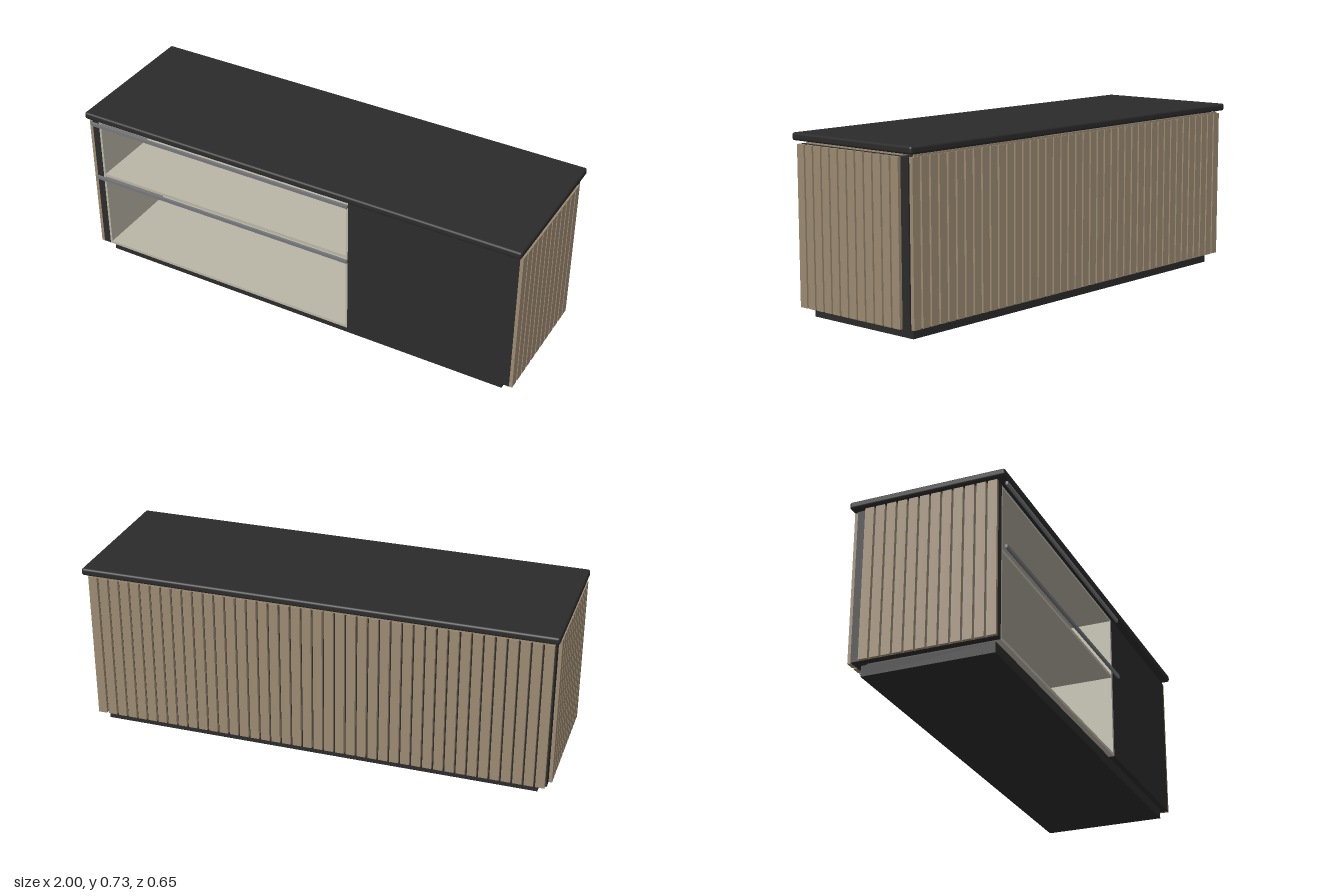
import * as THREE from 'three';
import { RoundedBoxGeometry } from 'three/addons/geometries/RoundedBoxGeometry.js';

const material = (name, color) => {
  const m = new THREE.MeshStandardMaterial({ color });
  m.name = name;
  return m;
};

export function createModel() {
  const dark = material('charcoal', 0x2b2b2b);
  const wood = material('slatWood', 0x9c8a72);
  const liner = material('beigeLiner', 0xbab6a6);
  const metal = material('greyMetal', 0x74777a);
  const root = new THREE.Group();
  root.name = 'counter';

  // Box given by its extents on each axis
  const box = (name, mat, [x0, x1], [y0, y1], [z0, z1], parent = root) => {
    const mesh = new THREE.Mesh(new THREE.BoxGeometry(x1 - x0, y1 - y0, z1 - z0), mat);
    mesh.position.set((x0 + x1) / 2, (y0 + y1) / 2, (z0 + z1) / 2);
    mesh.name = name;
    parent.add(mesh);
  };
  const bodyY = [0.044, 0.688];

  // Worktop with softened edges, and the plinth
  const top = new THREE.Mesh(new RoundedBoxGeometry(2, 0.031, 0.653, 3, 0.01), dark);
  top.position.y = 0.7155;
  top.name = 'worktop';
  root.add(top);
  box('plinth', dark, [-0.945, 0.945], [0, 0.044], [-0.272, 0.272]);
  box('topBoard', wood, [-0.965, 0.965], [0.688, 0.7], [-0.25, 0.28]);
  box('backBatten', wood, [-0.965, 0.965], [0.688, 0.696], [-0.307, -0.302]);

  // Dark carcass around the open shelves, closed cabinet on the left
  box('sidePanel', dark, [-0.985, -0.953], bodyY, [-0.295, 0.295]);
  box('backPanel', dark, [-0.953, 0.252], bodyY, [-0.295, -0.26]);
  box('cabinet', dark, [0.252, 0.985], bodyY, [-0.295, 0.297]);

  // Beige shelf lining, with a narrow shadow gap around its back board
  const shelfZ = [-0.245, 0.295];
  const shelves = new THREE.Group();
  shelves.name = 'openShelves';
  root.add(shelves);
  box('linerSide', liner, [-0.953, -0.943], bodyY, shelfZ, shelves);
  box('linerSide', liner, [0.242, 0.252], bodyY, shelfZ, shelves);
  box('floorBoard', liner, [-0.943, 0.242], [0.044, 0.056], shelfZ, shelves);
  box('ceilingBoard', liner, [-0.943, 0.242], [0.678, 0.688], shelfZ, shelves);
  box('middleShelf', liner, [-0.943, 0.242], [0.405, 0.418], shelfZ, shelves);
  box('linerBack', liner, [-0.938, 0.237], [0.063, 0.676], [-0.26, -0.25], shelves);

  // Metal rails standing just in front of the shelves
  for (const y of [0.405, 0.675]) {
    box('shelfRail', metal, [-0.97, 0.262], [y, y + 0.014], [0.317, 0.327]);
  }

  // Vertical slats on both ends
  const pitch = 0.0468;
  const width = 0.038;
  const slats = new THREE.Group();
  slats.name = 'slats';
  root.add(slats);
  for (let i = 0; i < 12; i++) {
    const z = 0.296 - i * pitch;
    box('endSlat', wood, [0.985, 0.999], bodyY, [z - width, z], slats);
    box('endSlat', wood, [-0.999, -0.985], bodyY, [z - width, z], slats);
  }
  // Vertical slats along the back
  for (let i = 0; i < 42; i++) {
    const x = -0.979 + i * pitch;
    box('backSlat', wood, [x, x + width], bodyY, [-0.311, -0.295], slats);
  }
  return root;
}
